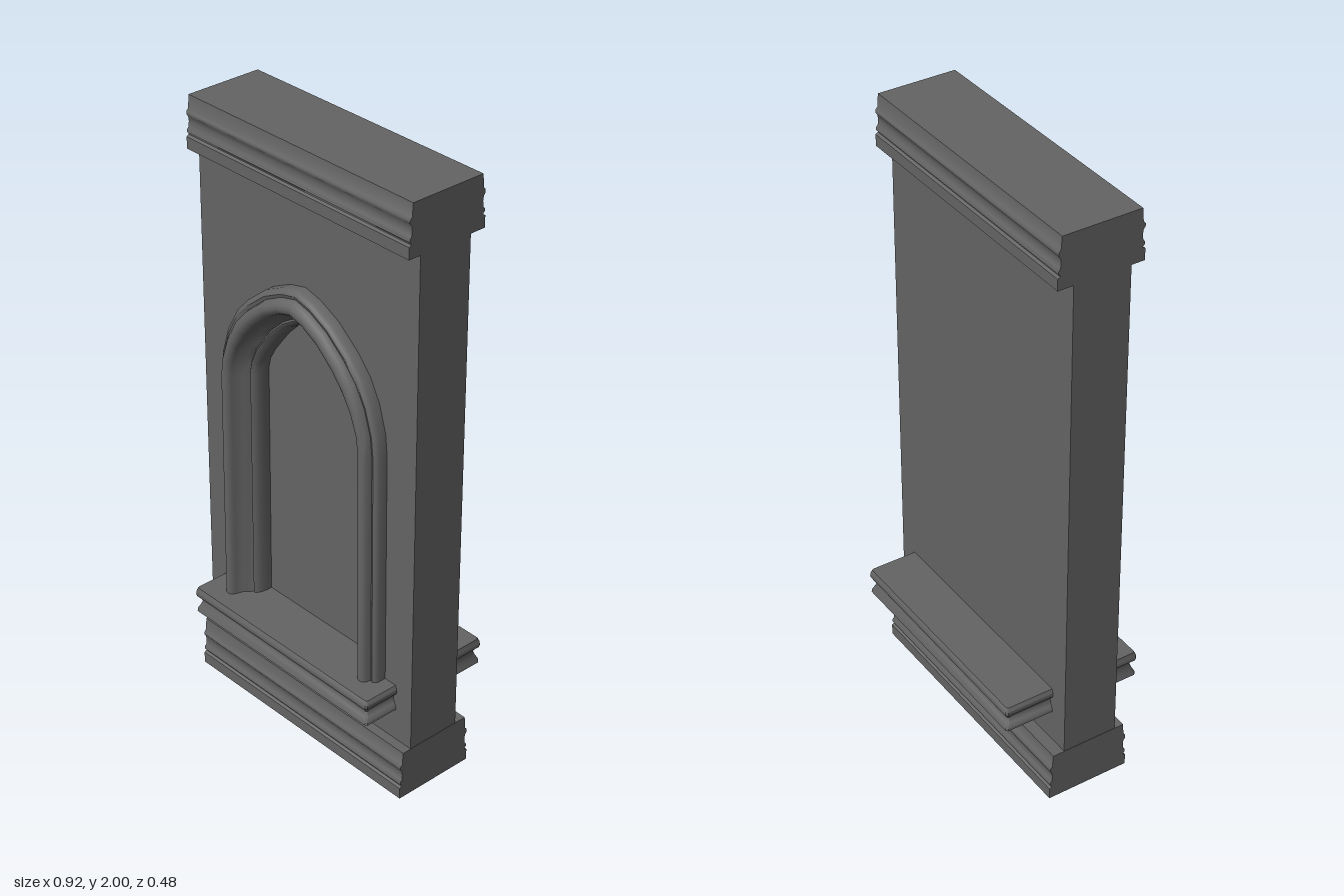
import * as THREE from 'three';
import { toCreasedNormals } from 'three/addons/utils/BufferGeometryUtils.js';

const material = new THREE.MeshStandardMaterial({ color: 0x646464 });
const CREASE = 0.75;

// Half outlines of the pointed arch, from the foot up to the apex
const OUTER = [[0.346, 0.36], [0.342, 1.15], [0.335, 1.22], [0.308, 1.31], [0.27, 1.38],
  [0.22, 1.435], [0.14, 1.5], [0.065, 1.537], [0, 1.553]];
const INNER = [[0.235, 0.36], [0.23, 1.17], [0.222, 1.205], [0.2, 1.245], [0.17, 1.285],
  [0.135, 1.33], [0.09, 1.375], [0.045, 1.405], [0, 1.42]];

// Full arch outline, at fraction t of the way from outer to inner
function archOutline(t) {
  const half = OUTER.map(([x, y], i) => [
    THREE.MathUtils.lerp(x, INNER[i][0], t), THREE.MathUtils.lerp(y, INNER[i][1], t)]);
  return [...half, ...half.slice(0, -1).reverse().map(([x, y]) => [-x, y])];
}

// Skin between equal-length rings of [x, y, z] points
function loft(rings) {
  const n = rings[0].length;
  const index = [];
  for (let i = 0; i < rings.length - 1; i++) {
    for (let j = 0; j < n - 1; j++) {
      const a = i * n + j, b = a + n;
      index.push(a, b, a + 1, b, b + 1, a + 1);
    }
  }
  const geometry = new THREE.BufferGeometry();
  geometry.setAttribute('position', new THREE.Float32BufferAttribute(rings.flat(2), 3));
  geometry.setIndex(index);
  return toCreasedNormals(geometry, CREASE);
}

// Swap rows and columns of a grid of points
const transpose = (grid) => grid[0].map((_, j) => grid.map((row) => row[j]));

function addMesh(group, name, geometry) {
  const mesh = new THREE.Mesh(geometry, material);
  mesh.name = name;
  group.add(mesh);
  return mesh;
}

// Straight moulding: a mirrored [halfDepth, y] profile run along x
function mouldingGeometry(profile, width) {
  const mirrored = profile.map(([d, y]) => [-d, y]).reverse();
  const shape = new THREE.Shape([...profile, ...mirrored].map(([d, y]) => new THREE.Vector2(d, y)));
  const geometry = new THREE.ExtrudeGeometry(shape, { depth: width, bevelEnabled: false });
  geometry.translate(0, 0, -width / 2).rotateY(-Math.PI / 2);
  return toCreasedNormals(geometry, CREASE);
}

// Front layer of the wall with the niche opening cut through it
function wallFaceGeometry(halfWidth, bottom, top, depth) {
  const shape = new THREE.Shape([[-halfWidth, bottom], [halfWidth, bottom], [halfWidth, top],
    [-halfWidth, top]].map(([x, y]) => new THREE.Vector2(x, y)));
  shape.holes.push(new THREE.Path(archOutline(0.6).map(([x, y]) => new THREE.Vector2(x, y))));
  return new THREE.ExtrudeGeometry(shape, { depth, bevelEnabled: false });
}

// Sill: chamfered rectangles stacked by an [inset, y] profile
function sillGeometry(halfX, halfZ, profile) {
  const c = 0.006;
  const ring = (inset, y) => {
    const x = halfX - inset, z = halfZ - inset;
    return [
      [x, y, z - c], [x, y, -z + c], [x - c, y, -z], [-x + c, y, -z],
      [-x, y, -z + c], [-x, y, z - c], [-x + c, y, z], [x - c, y, z], [x, y, z - c],
    ];
  };
  const rings = profile.map(([inset, y]) => ring(inset, y));
  const centre = (y) => rings[0].map(() => [0, y, 0]);
  return loft(transpose([centre(profile[0][1]), ...rings, centre(profile.at(-1)[1])]));
}

// Arch surround: stepped rolls swept round the arch, ending inside the niche
function archGeometry() {
  const section = [[0, 0.112], [0, 0.143], [0.05, 0.153], [0.12, 0.157], [0.2, 0.153],
    [0.23, 0.17], [0.3, 0.179], [0.4, 0.181], [0.5, 0.177], [0.56, 0.165], [0.62, 0.142],
    [0.72, 0.13], [0.8, 0.114], [0.84, 0.118], [0.92, 0.112], [0.98, 0.095], [1, 0.075], [1, 0.058]];
  return loft(transpose(section.map(([t, z]) => archOutline(t).map(([x, y]) => [x, y, z]))));
}

export function createModel() {
  const group = new THREE.Group();
  group.name = 'archedWallPanel';

  // Wall: a solid back slab that closes the niche, and a pierced front layer
  addMesh(group, 'wallBack', new THREE.BoxGeometry(0.92, 1.7, 0.132)).position.set(0, 1, -0.006);
  addMesh(group, 'wallFace', wallFaceGeometry(0.46, 0.15, 1.85, 0.055)).position.z = 0.06;

  // Base and cap mouldings share the same stepped, beaded profile
  const profile = [[0.141, 0], [0.141, 0.038], [0.133, 0.043], [0.133, 0.047], [0.139, 0.052],
    [0.139, 0.06], [0.133, 0.067], [0.131, 0.085], [0.133, 0.1], [0.139, 0.108],
    [0.139, 0.118], [0.132, 0.126], [0.129, 0.168]];
  const capProfile = profile.map(([d, y]) => [d, y * 0.165 / 0.168]);
  addMesh(group, 'baseMoulding', mouldingGeometry(profile, 0.922)).position.z = 0.017;
  addMesh(group, 'capMoulding', mouldingGeometry(capProfile, 0.922)).position.set(0, 1.835, 0.017);

  // Sill projecting from both faces of the wall
  const sill = [[0.002, 0.28], [0.003, 0.288], [0.01, 0.303], [0.015, 0.318], [0.012, 0.33],
    [0.002, 0.338], [0, 0.346], [0.001, 0.355], [0.006, 0.368]];
  addMesh(group, 'sill', sillGeometry(0.397, 0.239, sill));

  // Pointed arch surround on the front face
  addMesh(group, 'archSurround', archGeometry());

  return group;
}
